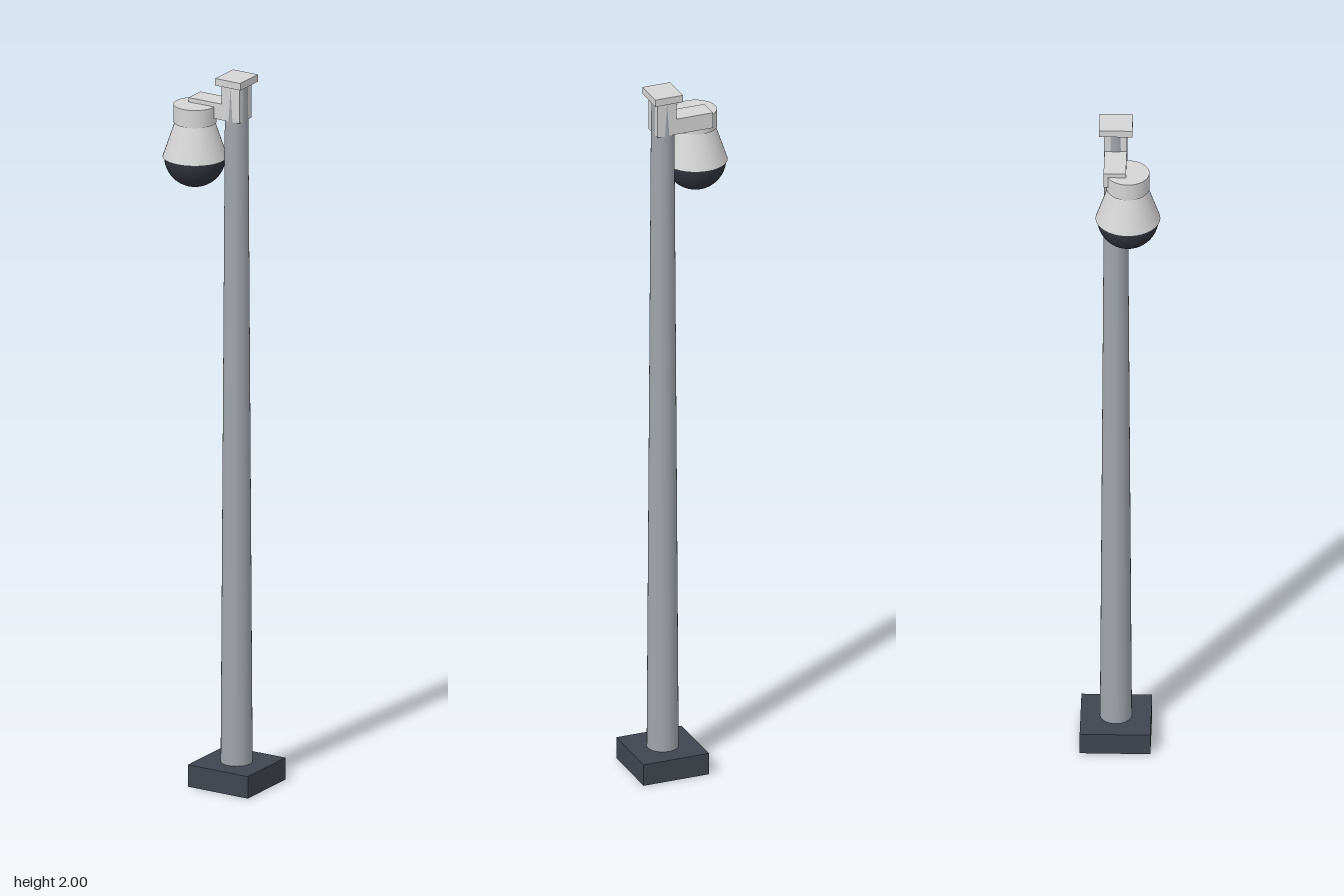
import * as THREE from 'three';

export function createModel() {
  const model = new THREE.Group();
  const mat = (name, color) => {
    const m = new THREE.MeshStandardMaterial({ color });
    m.name = name;
    return m;
  };
  const darkBase = mat('charcoal', 0x40454f);
  const steel = mat('steel grey', 0xa0a5ab);
  const shell = mat('light grey', 0xd4d4d4);
  const glass = mat('dark dome', 0x30333d);

  const add = (name, geometry, material, x, y, z) => {
    const mesh = new THREE.Mesh(geometry, material);
    mesh.name = name;
    mesh.position.set(x, y, z);
    model.add(mesh);
    return mesh;
  };
  // Box given by its lower and upper height
  const box = (name, material, w, d, y0, y1, x, z) =>
    add(name, new THREE.BoxGeometry(w, y1 - y0, d), material, x, (y0 + y1) / 2, z);

  const px = 0.05, pz = -0.015; // pole axis
  const cx = -0.06, cz = 0.02; // camera axis

  // Post: square foot, tapered pole, square collar and cap
  box('base', darkBase, 0.19, 0.19, 0, 0.062, px, pz);
  add('pole', new THREE.CylinderGeometry(0.031, 0.043, 1.92, 32), steel, px, 1.02, pz);
  box('collar', shell, 0.056, 0.062, 1.88, 1.982, px, pz);
  box('cap', shell, 0.08, 0.09, 1.98, 2, px, pz);

  // Bracket reaching from the collar over the camera
  box('arm', shell, 0.134, 0.06, 1.88, 1.925, -0.017, pz);

  // Camera housing: neck, flared shroud and hemispherical dome
  add('neck', new THREE.CylinderGeometry(0.058, 0.058, 0.05, 40), shell, cx, 1.888, cz);
  add('shroud', new THREE.CylinderGeometry(0.054, 0.087, 0.098, 40), shell, cx, 1.814, cz);
  add('dome', new THREE.SphereGeometry(0.083, 40, 16, 0, Math.PI * 2, Math.PI / 2, Math.PI / 2),
    glass, cx, 1.765, cz);

  return model;
}
